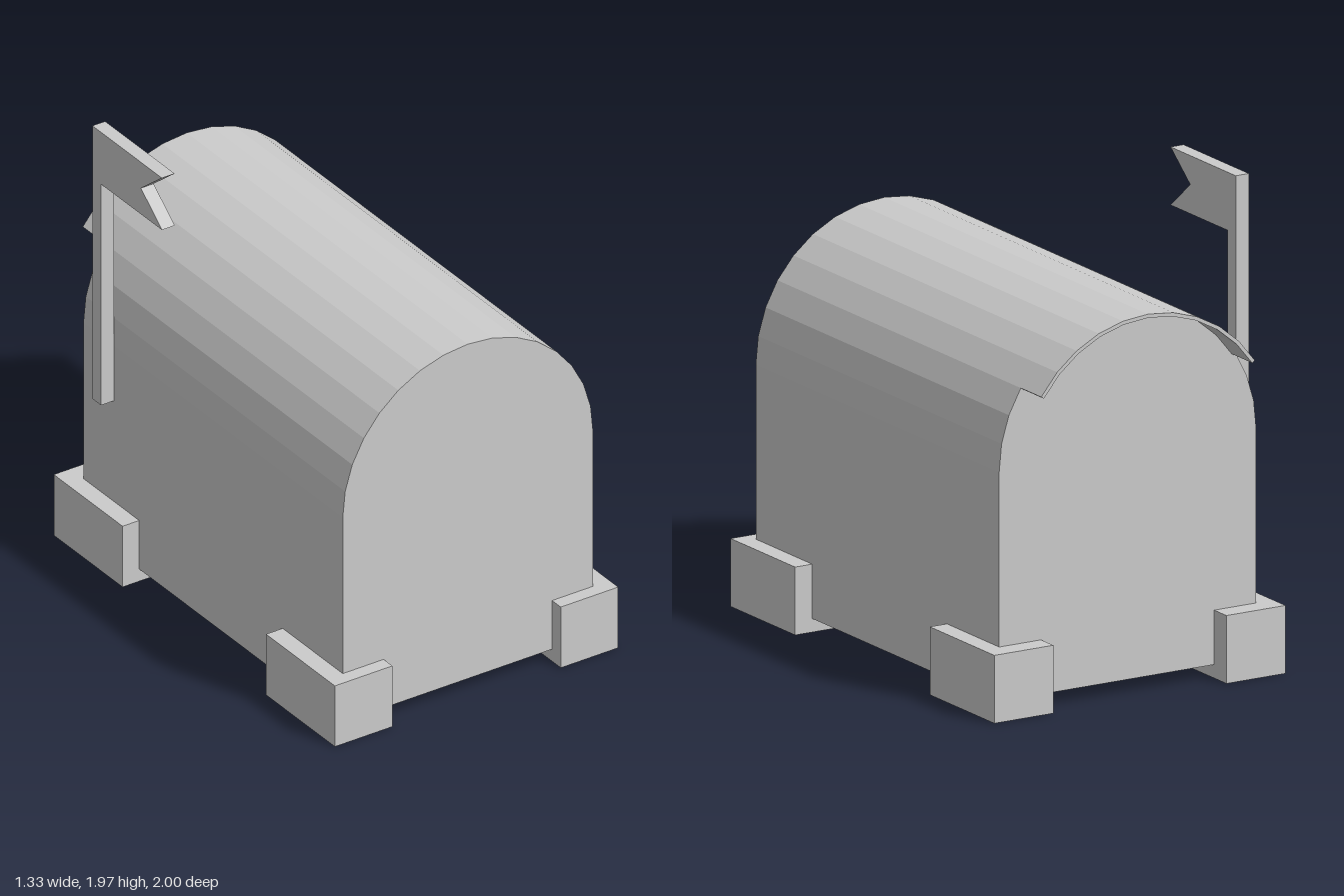
import * as THREE from 'three';

const material = new THREE.MeshStandardMaterial({ color: 0xcccccc, flatShading: true });

const RADIUS = 0.588;   // arch radius
const SPRING = 0.98;    // height where the arch begins
const SEGMENTS = 16;    // facets around the half circle

function arcPoints(radius, first, last) {
  const points = [];
  for (let i = first; i <= last; i++) {
    const a = (i / SEGMENTS) * Math.PI;
    points.push(new THREE.Vector2(radius * Math.cos(a), SPRING + radius * Math.sin(a)));
  }
  return points;
}

function extrude(name, points, depth) {
  const geometry = new THREE.ExtrudeGeometry(new THREE.Shape(points), { depth, bevelEnabled: false });
  const mesh = new THREE.Mesh(geometry, material);
  mesh.name = name;
  return mesh;
}

export function createModel() {
  const model = new THREE.Group();
  model.name = 'mailbox';

  // Arched box
  const body = extrude('body', [
    new THREE.Vector2(-RADIUS, 0.055),
    new THREE.Vector2(RADIUS, 0.055),
    ...arcPoints(RADIUS, 0, SEGMENTS),
  ], 1.79);
  body.position.z = -0.85;
  model.add(body);

  // Thin roof overhang at the back, three facets short of each side
  const overhang = extrude('roofOverhang', [
    ...arcPoints(RADIUS, 3, SEGMENTS - 3),
    ...arcPoints(RADIUS - 0.015, 3, SEGMENTS - 3).reverse(),
  ], 0.15);
  overhang.position.z = -1;
  model.add(overhang);

  // Four corner feet
  for (const [end, z] of [['front', 0.7625], ['back', -0.7025]]) {
    for (const [side, sign] of [['Left', 1], ['Right', -1]]) {
      const foot = new THREE.Mesh(new THREE.BoxGeometry(0.27, 0.275, 0.475), material);
      foot.name = `${end}${side}Foot`;
      foot.position.set(sign * 0.531, 0.1375, z);
      model.add(foot);
    }
  }

  // Signal flag and pole in one outline, drawn in z and y
  const flag = extrude('signalFlag', [
    [-0.70, 0.73], [-0.64, 0.73], [-0.64, 1.73], [-0.22, 1.73],
    [-0.365, 1.848], [-0.22, 1.965], [-0.70, 1.965],
  ].map(([z, y]) => new THREE.Vector2(z, y)), 0.06);
  flag.rotation.y = -Math.PI / 2;
  flag.position.x = -0.588;
  model.add(flag);

  return model;
}
